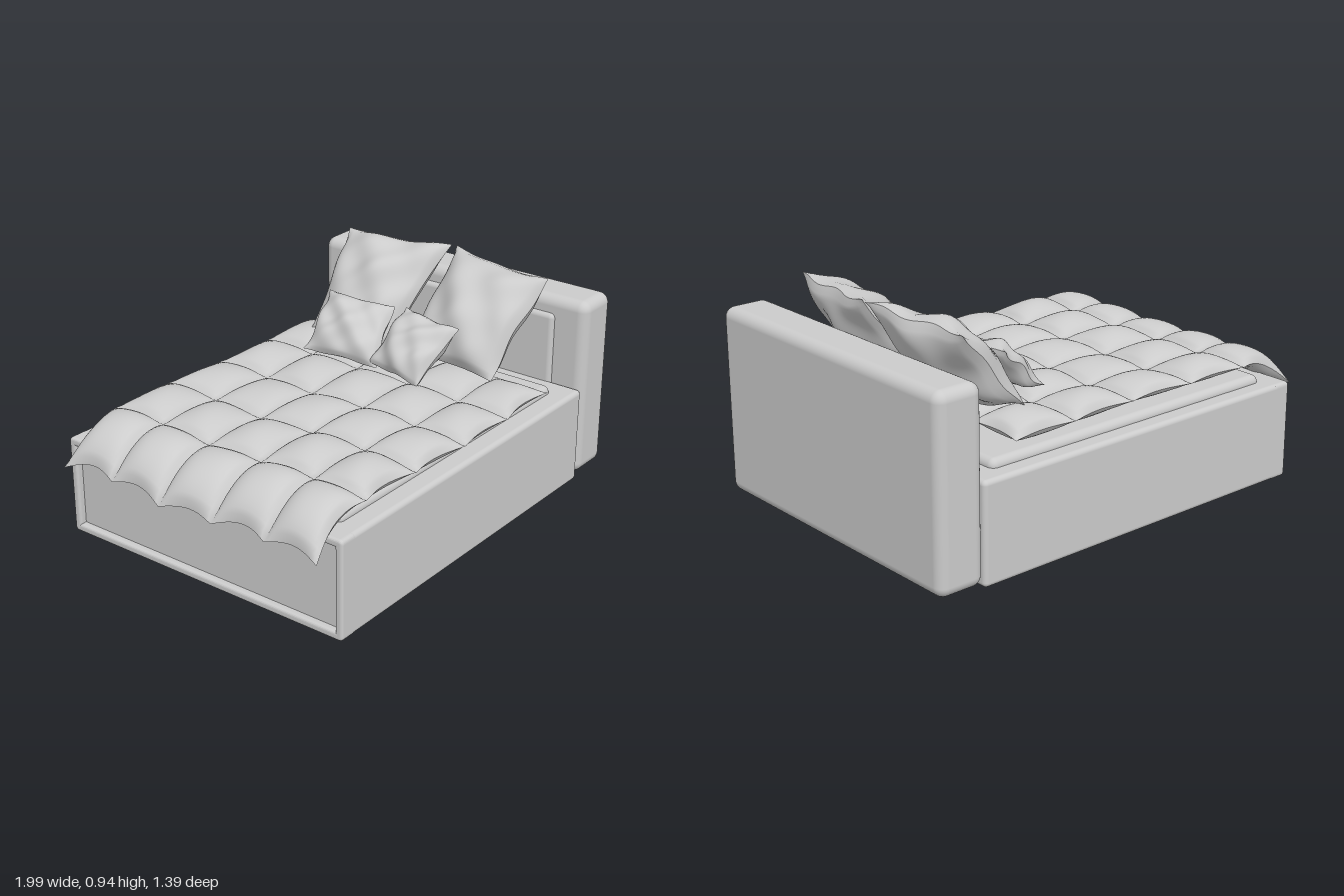
import * as THREE from 'three';
import { RoundedBoxGeometry } from 'three/addons/geometries/RoundedBoxGeometry.js';

const material = new THREE.MeshStandardMaterial({ color: 0xcccccc });

function addMesh(group, name, geometry) {
  const mesh = new THREE.Mesh(geometry, material);
  mesh.name = name;
  group.add(mesh);
  return mesh;
}

// Rounded block given by its extents on each axis
function block(group, name, [x0, x1], [y0, y1], [z0, z1], radius) {
  const geometry = new RoundedBoxGeometry(x1 - x0, y1 - y0, z1 - z0, 5, radius);
  geometry.translate((x0 + x1) / 2, (y0 + y1) / 2, (z0 + z1) / 2);
  return addMesh(group, name, geometry);
}

// Closed cushion skin: point(u, v, side) gives the upper (+1) and lower (-1) sheets
function cushion(point, n) {
  const positions = [], index = [];
  for (const side of [1, -1]) {
    const start = positions.length / 3;
    for (let j = 0; j <= n; j++)
      for (let i = 0; i <= n; i++) positions.push(...point(i / n, j / n, side).toArray());
    for (let j = 0; j < n; j++)
      for (let i = 0; i < n; i++) {
        const a = start + j * (n + 1) + i, b = a + 1, d = a + n + 1, c = d + 1;
        if (side > 0) index.push(a, b, c, a, c, d);
        else index.push(a, c, b, a, d, c);
      }
  }
  const geometry = new THREE.BufferGeometry();
  geometry.setAttribute('position', new THREE.Float32BufferAttribute(positions, 3));
  geometry.setIndex(index);
  geometry.computeVertexNormals();
  return geometry;
}

// Bilinear blend of four corners: low/back, low/front, high/front, high/back
function blend([a, b, c, d], u, v) {
  return a.clone().lerp(b, u).lerp(d.clone().lerp(c, u), v);
}

// Pillow with pointed corners, hollow edges and a few soft folds
function pillow(group, name, points, half, phase) {
  const corners = points.map((p) => new THREE.Vector3(...p));
  const across = corners[1].clone().sub(corners[0]);
  const normal = across.cross(corners[3].clone().sub(corners[0])).normalize();
  const geometry = cushion((u, v, side) => {
    const s = 2 * u - 1, t = 2 * v - 1;
    const pinch = 0.06;
    const pu = 0.5 + 0.5 * s * (1 - pinch * (1 - t * t));
    const pv = 0.5 + 0.5 * t * (1 - pinch * (1 - s * s));
    const swell = Math.pow(Math.max(0, (1 - s * s) * (1 - t * t)), 0.55);
    const fold = 1 + 0.07 * Math.sin(5 * s + 3 * t + phase) + 0.05 * Math.sin(7 * t - 4 * s + 2 * phase);
    const wave = 0.012 * Math.sin(6 * s + phase) * Math.sin(5 * t + phase);
    return blend(corners, pu, pv).addScaledVector(normal, side * half * swell * fold + wave);
  }, 32);
  addMesh(group, name, geometry);
}

// Quilt of 5 x 5 puffed squares that droops over the foot of the bed
function quilt(group) {
  const corners = [[-0.99, 0, -0.61], [-0.98, 0, 0.665], [0.53, 0, 0.695], [0.56, 0, -0.595]]
    .map((p) => new THREE.Vector3(...p));
  const geometry = cushion((u, v, side) => {
    const su = Math.abs(Math.sin(5 * Math.PI * u)), sv = Math.abs(Math.sin(5 * Math.PI * v));
    const p = blend(corners, u, v);
    // scalloped border and slightly wandering seams
    p.z -= 0.025 * Math.pow(2 * u - 1, 9) * sv - 0.008 * Math.sin(9 * v + 2);
    p.x -= 0.025 * Math.pow(2 * v - 1, 9) * su - 0.008 * Math.sin(11 * u);
    const cell = Math.floor(u * 4.999) * 3 + Math.floor(v * 4.999) * 5;
    const puff = Math.pow(su * sv, 0.5) * (1 + 0.1 * Math.sin(cell * 2.3))
      * (1 + 0.05 * Math.sin(31 * u + 17 * v));
    const drop = Math.max(0, (-0.7 - p.x) / 0.28);
    const lift = side * puff * (side > 0 ? 0.055 : 0.043);
    p.y = 0.503 - 0.13 * drop * drop + 0.006 * Math.sin(8 * u + 5 * v) + lift;
    p.x -= lift * 0.55 * Math.min(drop, 1);
    return p;
  }, 80);
  addMesh(group, 'quilt', geometry);
}

// Raised border around the sunken panel at the foot end
function footFrame(group) {
  const w = 0.695, h = 0.425, rim = 0.035, r = 0.02;
  const shape = new THREE.Shape();
  shape.moveTo(-w + r, 0).lineTo(w - r, 0).quadraticCurveTo(w, 0, w, r);
  shape.lineTo(w, h - r).quadraticCurveTo(w, h, w - r, h);
  shape.lineTo(-w + r, h).quadraticCurveTo(-w, h, -w, h - r);
  shape.lineTo(-w, r).quadraticCurveTo(-w, 0, -w + r, 0);
  const hole = new THREE.Path();
  hole.moveTo(-w + rim, rim).lineTo(-w + rim, h - rim).lineTo(w - rim, h - rim);
  hole.lineTo(w - rim, rim).closePath();
  shape.holes.push(hole);
  const geometry = new THREE.ExtrudeGeometry(shape, {
    depth: 0.06, bevelThickness: 0.012, bevelSize: 0.012, bevelOffset: -0.012, bevelSegments: 4,
  });
  geometry.rotateY(-Math.PI / 2).translate(-0.798, 0, 0);
  addMesh(group, 'footFrame', geometry);
}

export function createModel() {
  const bed = new THREE.Group();
  bed.name = 'bed';

  // Base, mattress and headboard
  block(bed, 'base', [-0.84, 0.79], [0, 0.425], [-0.695, 0.695], 0.02);
  footFrame(bed);
  block(bed, 'mattress', [-0.77, 0.69], [0.34, 0.458], [-0.62, 0.605], 0.03);
  block(bed, 'headboard', [0.79, 1], [0.015, 0.81], [-0.698, 0.695], 0.045);
  block(bed, 'headboardPanel', [0.772, 0.83], [0.38, 0.735], [-0.555, 0.545], 0.022);

  // Bedding
  quilt(bed);
  pillow(bed, 'backLargePillow',
    [[0.39, 0.55, -0.45], [0.42, 0.55, -0.06], [0.775, 0.935, 0.02], [0.72, 0.92, -0.50]], 0.115, 0.4);
  pillow(bed, 'frontLargePillow',
    [[0.42, 0.55, 0.03], [0.39, 0.55, 0.49], [0.70, 0.92, 0.56], [0.775, 0.935, 0.05]], 0.115, 2.1);
  pillow(bed, 'backSmallPillow',
    [[0.18, 0.55, -0.33], [0.22, 0.54, 0.03], [0.43, 0.74, -0.03], [0.40, 0.75, -0.36]], 0.075, 1.2);
  pillow(bed, 'frontSmallPillow',
    [[0.23, 0.55, -0.02], [0.17, 0.54, 0.27], [0.39, 0.74, 0.33], [0.44, 0.75, 0.02]], 0.075, 3.3);

  return bed;
}
